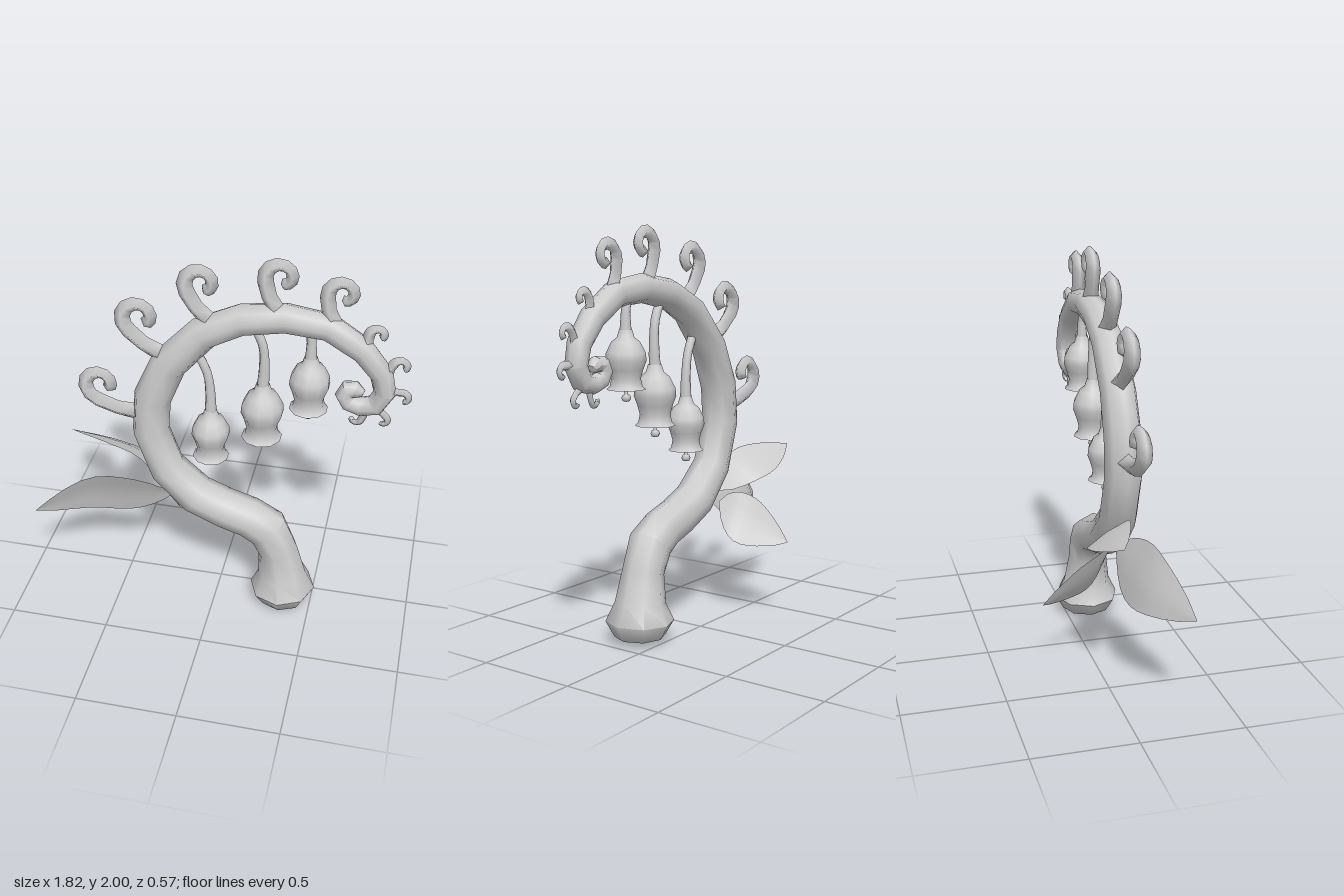
import * as THREE from 'three';
import { toCreasedNormals } from 'three/addons/utils/BufferGeometryUtils.js';

const Z = 0.11; // plane in which the plant grows
const material = new THREE.MeshStandardMaterial({ color: 0xcccccc });
const thinMaterial = new THREE.MeshStandardMaterial({ color: 0xcccccc, side: THREE.DoubleSide });

function addMesh(parent, name, geometry, mat = material) {
  const mesh = new THREE.Mesh(geometry, mat);
  mesh.name = name;
  parent.add(mesh);
  return mesh;
}

function indexed(positions, index) {
  const g = new THREE.BufferGeometry();
  g.setAttribute('position', new THREE.Float32BufferAttribute(positions, 3));
  g.setIndex(index);
  g.computeVertexNormals();
  return g;
}

// Tapered tube along a flat path of [x, y, radius] points
function sweep(path, sides) {
  const pos = [], index = [];
  path.forEach(([x, y, r], i) => {
    const a = path[Math.max(i - 1, 0)], b = path[Math.min(i + 1, path.length - 1)];
    const len = Math.hypot(b[0] - a[0], b[1] - a[1]);
    const nx = -(b[1] - a[1]) / len, ny = (b[0] - a[0]) / len;
    for (let j = 0; j < sides; j++) {
      const t = j / sides * Math.PI * 2, c = Math.cos(t) * r;
      pos.push(x + nx * c, y + ny * c, Z + Math.sin(t) * r);
      if (i === path.length - 1) continue;
      const p = i * sides + j, q = i * sides + (j + 1) % sides;
      index.push(p, q, p + sides, q, q + sides, p + sides);
    }
  });
  return indexed(pos, index);
}

// Hook: a short sagging stalk from the base, then a clockwise, tightening spiral round a centre
function curlPath(bx, by, cx, cy, R, r, turn) {
  const dx = cx - bx, dy = cy - by, dist = Math.hypot(dx, dy);
  const start = Math.atan2(dy, dx) + Math.PI - Math.acos(Math.min(R / dist, 1));
  const sx = cx + R * Math.cos(start), sy = cy + R * Math.sin(start);
  const sag = 0.06;
  const path = [
    [bx, by, r * 1.45],
    [(bx + sx) / 2 - dy * sag, (by + sy) / 2 + dx * sag, r * 1.25],
  ];
  const steps = 9;
  for (let i = 0; i <= steps; i++) {
    const k = i / steps, a = start - turn * k, q = R * (1 - 0.58 * k);
    path.push([cx + q * Math.cos(a), cy + q * Math.sin(a), r * (1.3 - 0.3 * Math.min(k * 2, 1))]);
  }
  const [ex, ey] = path[path.length - 1], [px, py] = path[path.length - 2];
  path.push([ex + (ex - px) * 0.6, ey + (ey - py) * 0.6, 0.0005]);
  return path;
}

// Pointed leaf: a curved midrib with two folded halves; peak shifts the widest part to the tip
function leaf(rib, side, fold, peak) {
  const curve = new THREE.CatmullRomCurve3(rib.map(p => new THREE.Vector3(...p)));
  const half = new THREE.Vector3(...side), lift = new THREE.Vector3(...fold);
  const rows = 10, pos = [], index = [];
  for (let i = 0; i <= rows; i++) {
    const t = i / rows, p = curve.getPoint(t);
    const w = Math.pow(Math.max(Math.sin(Math.PI * Math.pow(t, peak)), 0.005), 0.85);
    for (const s of [-1, -0.5, 0, 0.5, 1]) {
      const v = p.clone().addScaledVector(half, s * w).addScaledVector(lift, Math.abs(s) * w);
      pos.push(v.x, v.y, v.z);
    }
    if (i === rows) continue;
    for (let j = 0; j < 4; j++) {
      const a = i * 5 + j;
      index.push(a, a + 1, a + 5, a + 1, a + 6, a + 5);
    }
  }
  return indexed(pos, index);
}

// Hanging bell flower with its stalk and clapper
function bellFlower(x, rimY, size, stalk) {
  const bell = new THREE.Group();
  bell.name = 'bellFlower';
  const profile = [[0.089, 0], [0.074, 0.015], [0.067, 0.05], [0.078, 0.09], [0.093, 0.13],
    [0.09, 0.165], [0.065, 0.215], [0.04, 0.235], [0.029, 0.27]]
    .map(([r, y]) => new THREE.Vector2(r * size, y * size));
  addMesh(bell, 'bellCup', new THREE.LatheGeometry(profile, 10), thinMaterial).position.set(x, rimY, Z);

  const clapper = [[0.0005, -0.058], [0.017, -0.054], [0.023, -0.04], [0.017, -0.026],
    [0.009, -0.023], [0.01, 0.03], [0.02, 0.12], [0.0005, 0.2]].map(p => new THREE.Vector2(...p));
  addMesh(bell, 'clapper', new THREE.LatheGeometry(clapper, 8)).position.set(x, rimY, Z);

  const curve = new THREE.CatmullRomCurve3(stalk.map(([px, py]) => new THREE.Vector3(px, py, 0)));
  const path = curve.getPoints(9).map((p, i) => [p.x, p.y, 0.029 - 0.007 * Math.min(i / 5, 1)]);
  addMesh(bell, 'bellStalk', sweep(path, 8));
  return bell;
}

export function createModel() {
  const model = new THREE.Group();
  model.name = 'curledBellPlant';

  // Main stem with its swollen foot and rolled tip
  const stem = [
    [0.352, 0.005, 0.0005], [0.352, 0.035, 0.125], [0.352, 0.11, 0.168], [0.346, 0.2, 0.125],
    [0.322, 0.35, 0.103], [0.266, 0.475, 0.109], [0.17, 0.533, 0.104], [0.05, 0.57, 0.103],
    [-0.1, 0.635, 0.102], [-0.25, 0.785, 0.095], [-0.328, 1.01, 0.093], [-0.313, 1.2, 0.092],
    [-0.228, 1.4, 0.088], [-0.058, 1.59, 0.082], [0.12, 1.68, 0.076], [0.32, 1.712, 0.07],
    [0.515, 1.69, 0.065], [0.672, 1.59, 0.06], [0.762, 1.48, 0.056], [0.785, 1.38, 0.053],
    [0.745, 1.305, 0.05], [0.675, 1.29, 0.045], [0.622, 1.308, 0.044], [0.603, 1.343, 0.045],
    [0.618, 1.376, 0.044], [0.65, 1.38, 0.04], [0.675, 1.36, 0.028], [0.682, 1.342, 0.0005],
  ];
  addMesh(model, 'stem', toCreasedNormals(sweep(stem, 8), 0.9));

  // Curled tendrils along the outer side: base x, y, spiral centre x, y, radius, thickness, turn
  const curls = [
    [-0.38, 1.1, -0.567, 1.237, 0.096, 0.033, 4.9],
    [-0.26, 1.45, -0.36, 1.633, 0.096, 0.033, 4.9],
    [-0.035, 1.66, -0.066, 1.84, 0.086, 0.031, 4.9],
    [0.28, 1.74, 0.296, 1.913, 0.079, 0.029, 4.9],
    [0.535, 1.71, 0.57, 1.86, 0.073, 0.027, 4.9],
    [0.69, 1.61, 0.735, 1.675, 0.042, 0.02, 3.8],
    [0.79, 1.48, 0.85, 1.525, 0.04, 0.018, 3.5],
    [0.8, 1.38, 0.869, 1.357, 0.034, 0.016, 3.2],
    [0.76, 1.28, 0.785, 1.222, 0.028, 0.014, 3],
    [0.7, 1.265, 0.658, 1.218, 0.028, 0.014, 3],
  ];
  for (const c of curls) addMesh(model, 'curl', sweep(curlPath(...c), 4));

  // Three hanging bells
  model.add(
    bellFlower(-0.028, 0.897, 1, [[-0.028, 1.15], [-0.028, 1.25], [-0.045, 1.38], [-0.12, 1.53]]),
    bellFlower(0.222, 1.052, 1.1, [[0.222, 1.33], [0.227, 1.44], [0.217, 1.56], [0.165, 1.67]]),
    bellFlower(0.44, 1.247, 1.03, [[0.44, 1.5], [0.44, 1.56], [0.437, 1.62], [0.42, 1.69]]),
  );

  // Leaves at the lower bend: front, back and lower back
  addMesh(model, 'frontLeaf', leaf(
    [[-0.22, 0.62, 0.11], [-0.42, 0.595, 0.115], [-0.65, 0.585, 0.15], [-0.91, 0.52, 0.28]],
    [0, 0.15, 0.055], [0, 0, 0.015], 1), thinMaterial);
  addMesh(model, 'backLeaf', leaf(
    [[-0.28, 0.65, 0.08], [-0.4, 0.77, 0.01], [-0.58, 0.815, -0.015], [-0.79, 0.84, -0.02]],
    [0, 0.06, 0.1], [0, -0.01, 0.005], 0.9), thinMaterial);
  addMesh(model, 'lowerLeaf', leaf(
    [[-0.25, 0.6, 0.06], [-0.305, 0.525, -0.02], [-0.335, 0.475, -0.14], [-0.36, 0.41, -0.29]],
    [-0.07, 0.112, 0], [0.012, 0.005, 0], 0.85), thinMaterial);

  return model;
}
